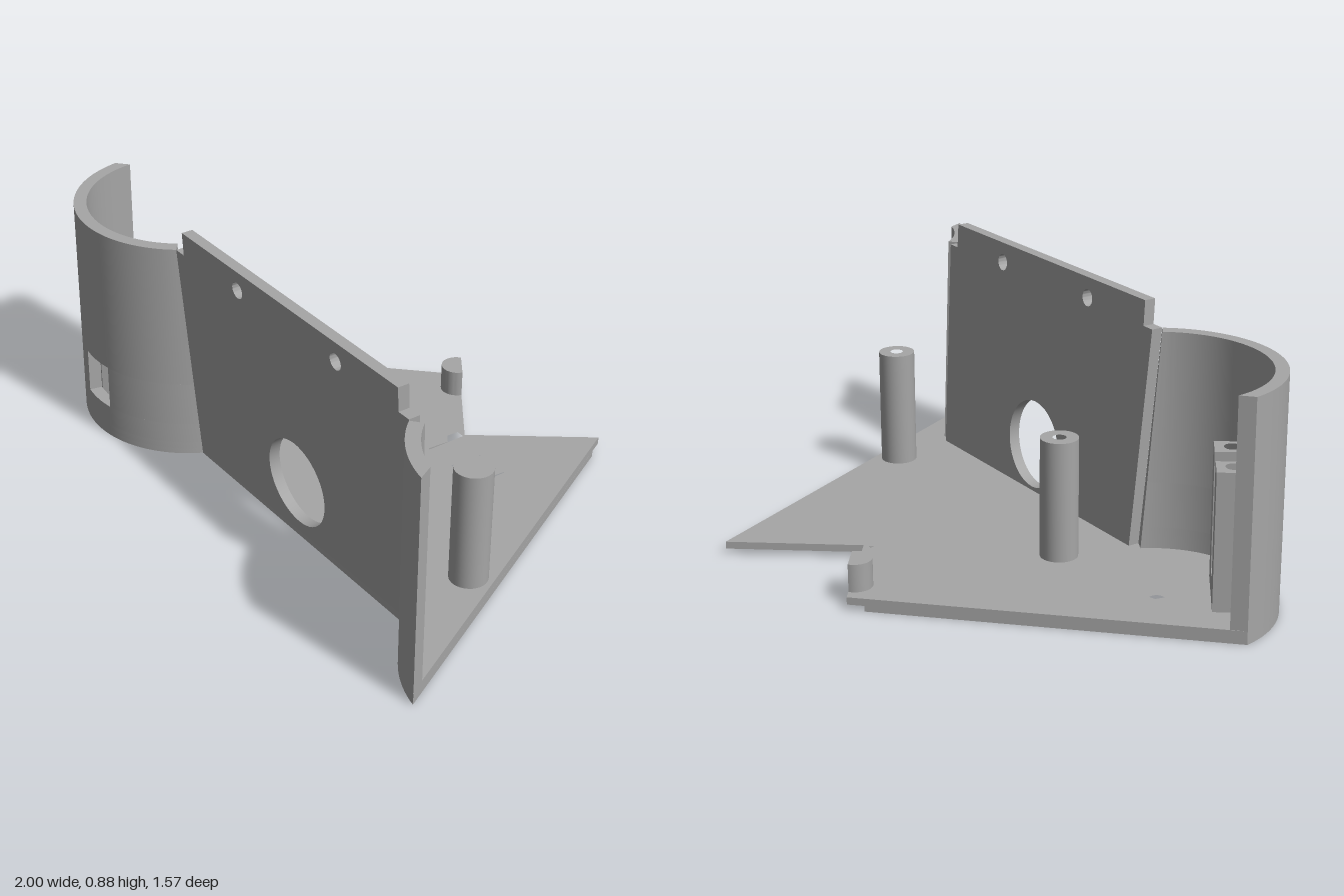
import * as THREE from 'three';
import { toCreasedNormals } from 'three/addons/utils/BufferGeometryUtils.js';

const WALL_TOP = 0.8, STEP = 0.02, FLOOR = 0.045;
const LEFT = [-0.615, -0.14], RIGHT = [1.19, 0.42]; // arc centres (x, z)

// Points on a circle in plan, angles in degrees from +x towards +z
function arc([cx, cz], r, a0, a1, step = 3) {
  const n = Math.max(1, Math.round(Math.abs(a1 - a0) / step));
  return Array.from({ length: n + 1 }, (_, i) => {
    const a = THREE.MathUtils.degToRad(a0 + ((a1 - a0) * i) / n);
    return [cx + r * Math.cos(a), cz + r * Math.sin(a)];
  });
}
const circle = (c, r, n = 32) => arc(c, r, 0, 360, 360 / n).slice(0, -1);

// Plan outline (x, z) raised from y0 to y1
function slab(points, y0, y1, holes = []) {
  const toVec = ([x, z]) => new THREE.Vector2(x, -z);
  const shape = new THREE.Shape(points.map(toVec));
  shape.holes = holes.map((h) => new THREE.Path(h.map(toVec)));
  const g = new THREE.ExtrudeGeometry(shape, { depth: y1 - y0, bevelEnabled: false });
  return g.rotateX(-Math.PI / 2).translate(0, y0, 0);
}

// Curved wall piece; the end next to the panel (joint) shifts with height
function curvedWall(c, ro, ri, outer, inner, y0, y1, joint, shift) {
  const g = slab([...arc(c, ro, ...outer), ...arc(c, ri, inner[1], inner[0])], y0, y1);
  const p = g.attributes.position;
  for (let i = 0; i < p.count; i++) {
    const dx = p.getX(i) - c[0], dz = p.getZ(i) - c[1], r = Math.hypot(dx, dz);
    let a = THREE.MathUtils.radToDeg(Math.atan2(dz, dx));
    if (a < 0) a += 360;
    const f = Math.max(0, 1 - Math.abs(a - joint) / 17);
    a = THREE.MathUtils.degToRad(a + (shift * f * p.getY(i)) / WALL_TOP);
    p.setX(i, c[0] + r * Math.cos(a));
    p.setZ(i, c[1] + r * Math.sin(a));
  }
  return g;
}

export function createModel() {
  const group = new THREE.Group();
  const grey = new THREE.MeshStandardMaterial({ color: 0xa6a6a6 });
  grey.name = 'grey plastic';
  const add = (name, geometry) => {
    const mesh = new THREE.Mesh(toCreasedNormals(geometry, 0.5), grey);
    mesh.name = name;
    group.add(mesh);
  };

  // Base plate in two layers: the upper one overhangs the notch as a lip
  const front = [[1, 0.78], ...arc(RIGHT, 0.406, 117.8, 169.4), ...arc(LEFT, 0.386, 44.5, 188.9)];
  const slit = [[0.33, -0.46], [0.36, -0.45], [0.315, -0.31], [0.28, -0.325]];
  const slits = [0, 1, 2].map((k) => slit.map(([x, z]) => [x + 0.122 * k, z + 0.04 * k]));
  add('basePlateTop', slab(
    [[0.12, -0.79], [0.36, -0.46], [0.74, -0.73], ...front], STEP, FLOOR,
    [...slits, circle(LEFT, 0.055, 6)]));
  add('basePlateBottom', slab(
    [[0.07, -0.762], [0.317, -0.42], [0.28, -0.325], [0.315, -0.31], [0.338, -0.385], [0.75, -0.675], ...front],
    0, STEP, [slits[1], slits[2], circle(LEFT, 0.027)]));

  // Left curved wall, built in bands around the small window
  const leftWall = (outer, inner, y0, y1) =>
    add('leftCurvedWall', curvedWall(LEFT, 0.386, 0.342, outer, inner, y0, y1, 44.5, 10));
  leftWall([44.5, 188.9], [44.5, 194], FLOOR, 0.12);
  leftWall([44.5, 97.5], [44.5, 97.5], 0.12, 0.28);
  leftWall([118.7, 188.9], [118.7, 194], 0.12, 0.28);
  leftWall([44.5, 188.9], [44.5, 194], 0.28, WALL_TOP);

  // Right curved wall
  add('rightCurvedWall', curvedWall(RIGHT, 0.406, 0.36, [117.8, 169.4], [123.7, 169.4], FLOOR, WALL_TOP, 169.4, -10));

  // Leaning front panel with its raised tab, drawn in elevation then sheared
  const panel = new THREE.Shape([
    [-0.34, 0], [0.79, 0], [0.806, 0.8], [0.76, 0.8], [0.76, 0.885],
    [-0.345, 0.885], [-0.345, 0.8], [-0.39, 0.8],
  ].map((p) => new THREE.Vector2(...p)));
  const hole = (x, y, rx, ry) => panel.holes.push(new THREE.Path().absellipse(x, y, rx, ry, 0, Math.PI * 2));
  hole(0.225, 0.215, 0.148, 0.157);
  hole(-0.04, 0.815, 0.027, 0.029);
  hole(0.465, 0.815, 0.027, 0.029);
  const panelGeo = new THREE.ExtrudeGeometry(panel, { depth: 0.04, bevelEnabled: false, curveSegments: 24 });
  panelGeo.translate(0, 0, -0.04);
  panelGeo.applyMatrix4(new THREE.Matrix4().set(
    1, 0, -0.306, 0,
    0, 1, 0, 0,
    0.3208, 0.076, 0.952, 0.239,
    0, 0, 0, 1));
  add('frontPanel', panelGeo);

  // Two hollow screw posts
  for (const c of [[-0.195, -0.11], [0.82, 0.215]])
    add('screwPost', slab(circle(c, 0.064), FLOOR, 0.46, [circle(c, 0.023, 20)]));

  // Short post cut flat along the notch edge
  add('edgePost', slab(arc([0.16, -0.705], 0.055, 35, 252, 8), STEP, 0.14));

  // Bracket behind the window: s runs along it, t runs out to the wall
  const at = ([s, t]) => [-0.835 + 0.59 * s - 0.81 * t, -0.155 + 0.81 * s + 0.59 * t];
  const bracket = (name, s0, s1, t0, t1, top, bore) =>
    add(name, slab([[s0, 0], [s1, 0], [s1, t1], [s0, t0]].map(at), FLOOR, top,
      bore ? [circle(at(bore), 0.028, 20)] : []));
  bracket('bracketPost', 0, 0.095, 0.14, 0.165, 0.51, [0.052, 0.056]);
  bracket('bracketPost', 0.175, 0.27, 0.165, 0.14, 0.51, [0.224, 0.058]);
  bracket('bracketSill', 0.095, 0.175, 0.165, 0.165, 0.115);

  return group;
}
